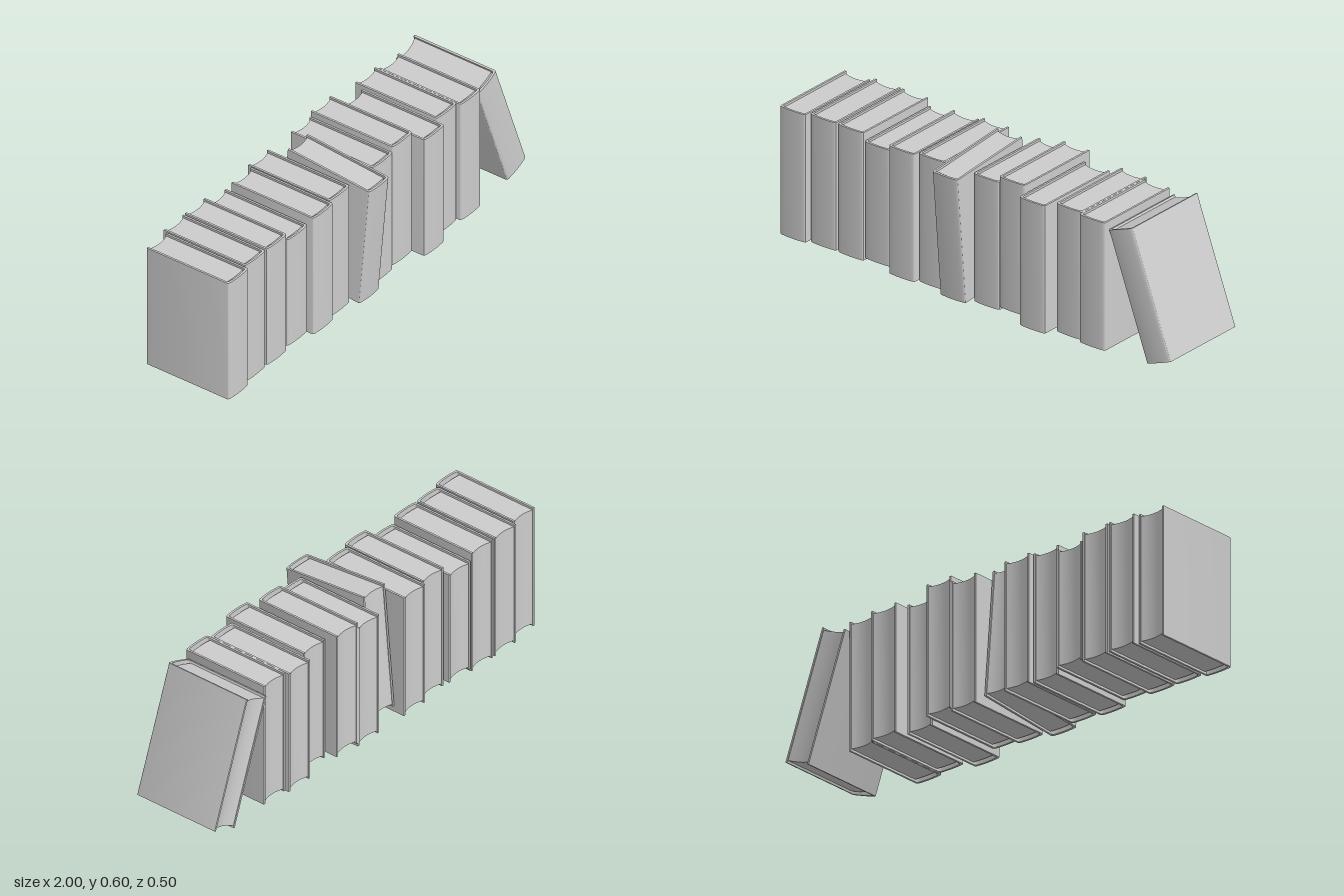
import * as THREE from 'three';
import { toCreasedNormals } from 'three/addons/utils/BufferGeometryUtils.js';

const W = 0.066;      // half thickness of a book
const D = 0.207;      // half depth of a book
const BOARD = 0.009;  // cover thickness
const LIP = 0.01;     // cover overhang above and below the pages

// Extrude a plan outline upward; outline y runs toward the back
function riseFrom(shape, height, base) {
  const geo = new THREE.ExtrudeGeometry(shape, { depth: height, bevelEnabled: false, curveSegments: 8 });
  geo.rotateX(-Math.PI / 2);
  geo.translate(0, base, 0);
  return toCreasedNormals(geo, 0.6);
}

// Hard cover: two boards joined by a gently rounded spine
function coverGeometry(height) {
  const s = new THREE.Shape();
  const i = W - BOARD;
  s.moveTo(W, D);
  s.lineTo(i, D);
  s.lineTo(i, -0.188);
  s.quadraticCurveTo(i, -0.193, i - 0.006, -0.194);
  s.quadraticCurveTo(0, -0.202, -i + 0.006, -0.194);
  s.quadraticCurveTo(-i, -0.193, -i, -0.188);
  s.lineTo(-i, D);
  s.lineTo(-W, D);
  s.lineTo(-W, -0.193);
  s.quadraticCurveTo(-W, -0.202, -W + 0.01, -0.2035);
  s.quadraticCurveTo(0, -0.2105, W - 0.01, -0.2035);
  s.quadraticCurveTo(W, -0.202, W, -0.193);
  s.closePath();
  return riseFrom(s, height, 0);
}

// Page block: convex toward the spine, hollowed along the fore edge
function pagesGeometry(height) {
  const s = new THREE.Shape();
  const i = W - BOARD;
  s.moveTo(-i, -0.181);
  s.quadraticCurveTo(0, -0.188, i, -0.181);
  s.lineTo(i, D - 0.003);
  s.quadraticCurveTo(0, D - 0.025, -i, D - 0.003);
  s.closePath();
  return riseFrom(s, height - 2 * LIP, LIP);
}

export function createModel() {
  const grey = new THREE.MeshStandardMaterial({ color: 0xcccccc });
  grey.name = 'light grey';
  const model = new THREE.Group();
  model.name = 'bookRow';

  function addBook(name, height = 0.57) {
    const book = new THREE.Group();
    book.name = name;
    const cover = new THREE.Mesh(coverGeometry(height), grey);
    cover.name = 'cover';
    const pages = new THREE.Mesh(pagesGeometry(height), grey);
    pages.name = 'pages';
    book.add(cover, pages);
    model.add(book);
    return book;
  }

  // Upright books: left edge x, centre z, height, base y
  const Z = -0.044;
  [
    [-1.0, -0.023], [-0.86, Z], [-0.718, Z], [-0.58, Z, 0.52, 0.016],
    [-0.438, -0.023], [-0.3, Z], [-0.016, Z], [0.115, Z, 0.581, 0.016],
    [0.26, 0.006], [0.41, Z], [0.543, -0.026],
  ].forEach(([x, z, height, y = 0], n) => {
    addBook('uprightBook' + (n + 1), height).position.set(x + W, y, z);
  });

  // Book tipped forward out of the row
  const tipped = addBook('tippedBook');
  tipped.position.set(-0.158 + W, 0.019, -0.003);
  tipped.rotation.x = THREE.MathUtils.degToRad(5);

  // End book leaning against the row
  const lean = THREE.MathUtils.degToRad(20.2);
  const leaning = addBook('leaningBook');
  leaning.position.set(1 - W * Math.cos(lean), W * Math.sin(lean), Z);
  leaning.rotation.z = lean;

  return model;
}
